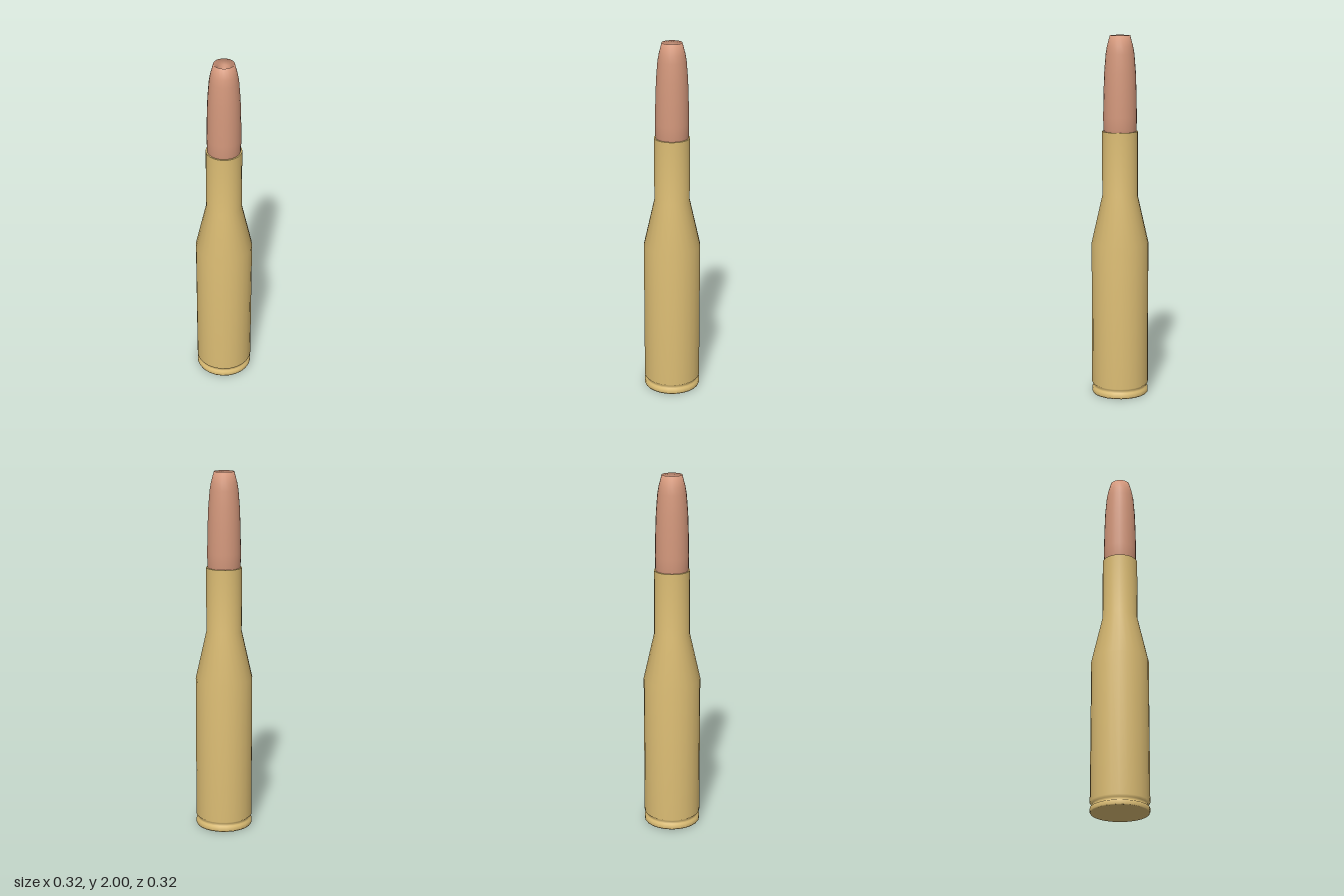
import * as THREE from 'three';

const SIDES = 24;

// Turned part from [radius, height] pairs, listed from the bottom up the outside
function turned(name, profile, material) {
  const points = profile.map(([r, y]) => new THREE.Vector2(r, y));
  const mesh = new THREE.Mesh(new THREE.LatheGeometry(points, SIDES), material);
  mesh.name = name;
  return mesh;
}

export function createModel() {
  const brass = new THREE.MeshStandardMaterial({ color: 0xdcbd74 });
  brass.name = 'brass';
  const copper = new THREE.MeshStandardMaterial({ color: 0xd4987c });
  copper.name = 'copper';

  const group = new THREE.Group();
  group.name = 'cartridge';

  // Base rim and groove, straight body, sloped shoulder, neck and mouth
  group.add(turned('case', [
    [0, 0], [0.155, 0], [0.158, 0.006], [0.158, 0.027],
    [0.147, 0.032], [0.147, 0.047], [0.158, 0.057],
    [0.158, 0.86], [0.098, 1.125], [0.098, 1.48],
  ], brass));
  group.add(turned('mouthLip', [[0.098, 1.48], [0.088, 1.48]], brass));
  group.add(turned('mouthWall', [[0.088, 1.48], [0.088, 1.42]], brass));

  // Curved tip with a shallow hollow in its end
  group.add(turned('tip', [
    [0, 1.42], [0.08, 1.42], [0.091, 1.49], [0.092, 1.56], [0.09, 1.68],
    [0.086, 1.8], [0.078, 1.9], [0.071, 1.94], [0.055, 2],
    [0.034, 1.975], [0.03, 1.92], [0, 1.91],
  ], copper));

  return group;
}
